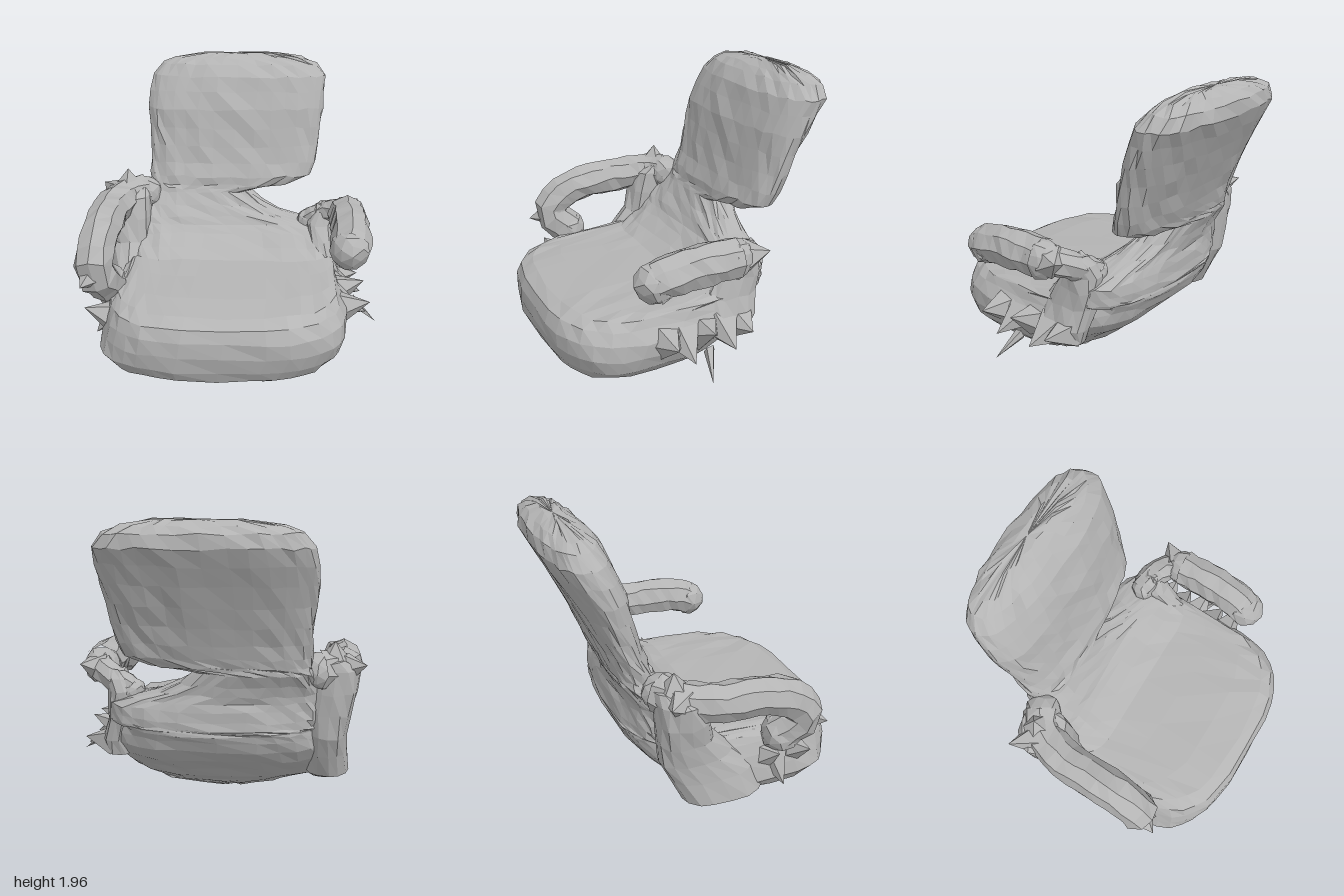
import * as THREE from 'three';

const grey = new THREE.MeshStandardMaterial({ color: 0xb4b4b4 });
grey.name = 'plain grey';

// Repeatable offset per position, so coincident vertices move together
function wobble(geo, amount) {
  const p = geo.attributes.position;
  const h = (x, y, z, k) => {
    const s = Math.sin(Math.round(x * 500) * 12.99 + Math.round(y * 500) * 78.23 + Math.round(z * 500) * 37.72 + k) * 4375.85;
    return (s - Math.floor(s) - 0.5) * 2 * amount;
  };
  for (let i = 0; i < p.count; i++) {
    const x = p.getX(i), y = p.getY(i), z = p.getZ(i);
    p.setXYZ(i, x + h(x, y, z, 1), y + h(x, y, z, 2), z + h(x, y, z, 3));
  }
}

// Faceted mesh with one normal per face
function part(group, name, geo, amount = 0.009) {
  wobble(geo, amount);
  const flat = geo.index ? geo.toNonIndexed() : geo;
  flat.computeVertexNormals();
  const mesh = new THREE.Mesh(flat, grey);
  mesh.name = name;
  group.add(mesh);
}

// Loft of rounded-rectangle sections: [y, xMin, xMax, zMin, zMax, power, bow]
// A higher power is squarer; bow brings the sides forward, mostly at the front
function loft(sections, sides) {
  const pos = [], idx = [];
  for (const [y, x0, x1, z0, z1, power = 2.4, bow = 0] of sections) {
    const r = (v) => Math.sign(v) * Math.abs(v) ** (2 / power);
    for (let j = 0; j < sides; j++) {
      const a = (j / sides) * Math.PI * 2;
      const x = (x0 + x1) / 2 + r(Math.cos(a)) * (x1 - x0) / 2;
      const dz = r(Math.sin(a)) * (z1 - z0) / 2;
      pos.push(x, y, (z0 + z1) / 2 + dz + bow * x * x * (dz > 0 ? 1 : 0.5));
    }
  }
  const last = sections.length - 1;
  for (const i of [0, last]) {
    const [y, x0, x1, z0, z1] = sections[i];
    pos.push((x0 + x1) / 2, y, (z0 + z1) / 2);
  }
  const low = sections.length * sides, high = low + 1;
  for (let j = 0; j < sides; j++) {
    const k = (j + 1) % sides;
    for (let i = 0; i < last; i++) {
      const a = i * sides + j, b = i * sides + k;
      idx.push(a, a + sides, b + sides, a, b + sides, b);
    }
    idx.push(low, j, k, high, last * sides + k, last * sides + j);
  }
  const geo = new THREE.BufferGeometry();
  geo.setAttribute('position', new THREE.Float32BufferAttribute(pos, 3));
  geo.setIndex(idx);
  return geo;
}

// Swept limb with rounded ends
function limb(group, name, points, radius, steps = 12) {
  const pts = points.map((p) => new THREE.Vector3(...p));
  const g = new THREE.Group();
  g.name = name;
  part(g, name + 'Bar', new THREE.TubeGeometry(new THREE.CatmullRomCurve3(pts), steps, radius, 8));
  for (const end of [pts[0], pts[pts.length - 1]]) {
    part(g, name + 'End', new THREE.IcosahedronGeometry(radius * 0.97, 1).translate(end.x, end.y, end.z));
  }
  group.add(g);
}

// Ragged spike from a base to a tip
function spike(group, base, tip, radius) {
  const a = new THREE.Vector3(...base), d = new THREE.Vector3(...tip).sub(a);
  const geo = new THREE.ConeGeometry(radius, d.length(), 5, 1, true).translate(0, d.length() / 2, 0);
  geo.applyQuaternion(new THREE.Quaternion().setFromUnitVectors(new THREE.Vector3(0, 1, 0), d.normalize()));
  part(group, 'raggedSpike', geo.translate(a.x, a.y, a.z), 0.012);
}

export function createModel() {
  const chair = new THREE.Group();
  chair.name = 'armchair';

  // One skin: bowl-shaped underside and cushion
  const cushion = [
    [0.01, -0.16, 0.02, 0.07, 0.2, 2.4],
    [0.05, -0.32, 0.22, 0.0, 0.3, 2.6],
    [0.095, -0.5, 0.46, -0.07, 0.5, 3],
    [0.115, -0.59, 0.52, -0.1, 0.78, 3],
    [0.18, -0.78, 0.65, -0.18, 0.88, 3.2],
    [0.26, -0.84, 0.73, -0.26, 0.92, 3.2],
    [0.36, -0.82, 0.77, -0.39, 0.94, 3.2],
    [0.46, -0.8, 0.77, -0.48, 0.94, 3.2],
    [0.54, -0.77, 0.73, -0.52, 0.91, 3.2],
    [0.585, -0.73, 0.71, -0.545, 0.83, 3.2],
    [0.605, -0.71, 0.71, -0.55, 0.62, 3.2],
    [0.615, -0.7, 0.71, -0.55, 0.3, 3.2, 0.05],
  ];
  // Lower back, hollowed like a bowl and cut away on the left
  const lowerBack = [
    [0.63, -0.69, 0.71, -0.55, 0.05, 3, 0.15],
    [0.68, -0.69, 0.71, -0.55, -0.08, 3, 0.22],
    [0.75, -0.68, 0.7, -0.54, -0.17, 3, 0.22],
    [0.8, -0.67, 0.56, -0.535, -0.22, 3, 0.2],
    [0.85, -0.66, 0.37, -0.54, -0.25, 2.8, 0.2],
    [0.92, -0.64, 0.22, -0.56, -0.29, 2.8, 0.12],
    [1.0, -0.62, 0.12, -0.59, -0.32, 2.6],
  ];
  // Tilted upper back with an overhanging left lobe
  const upperBack = [
    [1.03, -0.61, 0.25, -0.6, -0.33],
    [1.05, -0.61, 0.42, -0.61, -0.34],
    [1.11, -0.61, 0.57, -0.63, -0.35],
    [1.2, -0.61, 0.6, -0.66, -0.385],
    [1.32, -0.61, 0.62, -0.71, -0.415],
    [1.45, -0.62, 0.64, -0.765, -0.44],
    [1.58, -0.63, 0.66, -0.825, -0.465],
    [1.7, -0.62, 0.67, -0.89, -0.51],
    [1.8, -0.6, 0.68, -0.945, -0.55],
    [1.88, -0.53, 0.61, -0.935, -0.61],
    [1.92, -0.43, 0.5, -0.89, -0.66],
    [1.95, -0.25, 0.33, -0.83, -0.72],
  ];
  part(chair, 'seatAndBack', loft([...cushion, ...lowerBack, ...upperBack], 36));

  // Right arm, a closed arch from back to seat
  limb(chair, 'rightArm', [
    [-0.64, 0.99, -0.37], [-0.76, 0.98, -0.3], [-0.83, 0.96, -0.1], [-0.84, 0.94, 0.2],
    [-0.85, 0.88, 0.4], [-0.85, 0.74, 0.51], [-0.8, 0.6, 0.38],
  ], 0.128, 16);
  // Web filling the space behind the arch, down to the seat base
  part(chair, 'rightArmWeb', loft([
    [0.17, -0.82, -0.6, -0.12, 0.22],
    [0.23, -0.9, -0.58, -0.27, 0.28],
    [0.4, -0.87, -0.58, -0.36, 0.22],
    [0.55, -0.86, -0.58, -0.42, 0.06],
    [0.7, -0.88, -0.58, -0.44, -0.08],
    [0.85, -0.91, -0.58, -0.45, -0.12],
    [1.0, -0.92, -0.58, -0.45, -0.16],
    [1.06, -0.84, -0.6, -0.44, -0.26],
  ], 16));
  spike(chair, [-0.75, 1.03, -0.33], [-0.75, 1.18, -0.34], 0.12);
  spike(chair, [-0.82, 1.0, -0.32], [-0.94, 1.04, -0.44], 0.1);

  // Left arm, joined only at its rear
  limb(chair, 'leftArm', [
    [0.8, 0.93, -0.1], [0.8, 0.93, 0.1], [0.79, 0.91, 0.3], [0.77, 0.87, 0.43],
  ], 0.13, 8);
  limb(chair, 'leftArmLink', [
    [0.56, 0.81, -0.3], [0.66, 0.87, -0.27], [0.76, 0.92, -0.2], [0.81, 0.93, -0.1],
  ], 0.09, 6);
  part(chair, 'leftArmWeb', loft([
    [0.35, 0.58, 0.76, -0.3, 0.0],
    [0.47, 0.58, 0.78, -0.34, 0.04],
    [0.6, 0.56, 0.73, -0.37, 0.0],
    [0.72, 0.54, 0.72, -0.39, -0.07],
    [0.82, 0.53, 0.72, -0.39, -0.14],
    [0.9, 0.57, 0.74, -0.36, -0.18],
    [0.95, 0.61, 0.72, -0.32, -0.22],
  ], 14));
  spike(chair, [0.82, 0.94, -0.18], [0.9, 0.98, -0.29], 0.1);

  // Torn edges along both sides of the seat
  const left = [[0.45, -0.2, 0.9], [0.36, -0.08, 0.91], [0.5, 0.06, 0.92], [0.34, 0.2, 0.92], [0.48, 0.33, 0.94]];
  for (const [y, z, x] of left) spike(chair, [0.7, 0.42, z], [x, y, z + 0.02], 0.13);
  spike(chair, [0.84, 0.36, 0.08], [1.0, 0.22, 0.15], 0.035);
  const right = [[0.5, 0.5, -0.92], [0.24, 0.36, -0.9], [0.5, 0.3, -0.9]];
  for (const [y, z, x] of right) spike(chair, [-0.74, 0.42, z], [x, y, z + 0.03], 0.12);
  spike(chair, [-0.86, 0.72, 0.52], [-0.91, 0.68, 0.66], 0.09);

  return chair;
}
